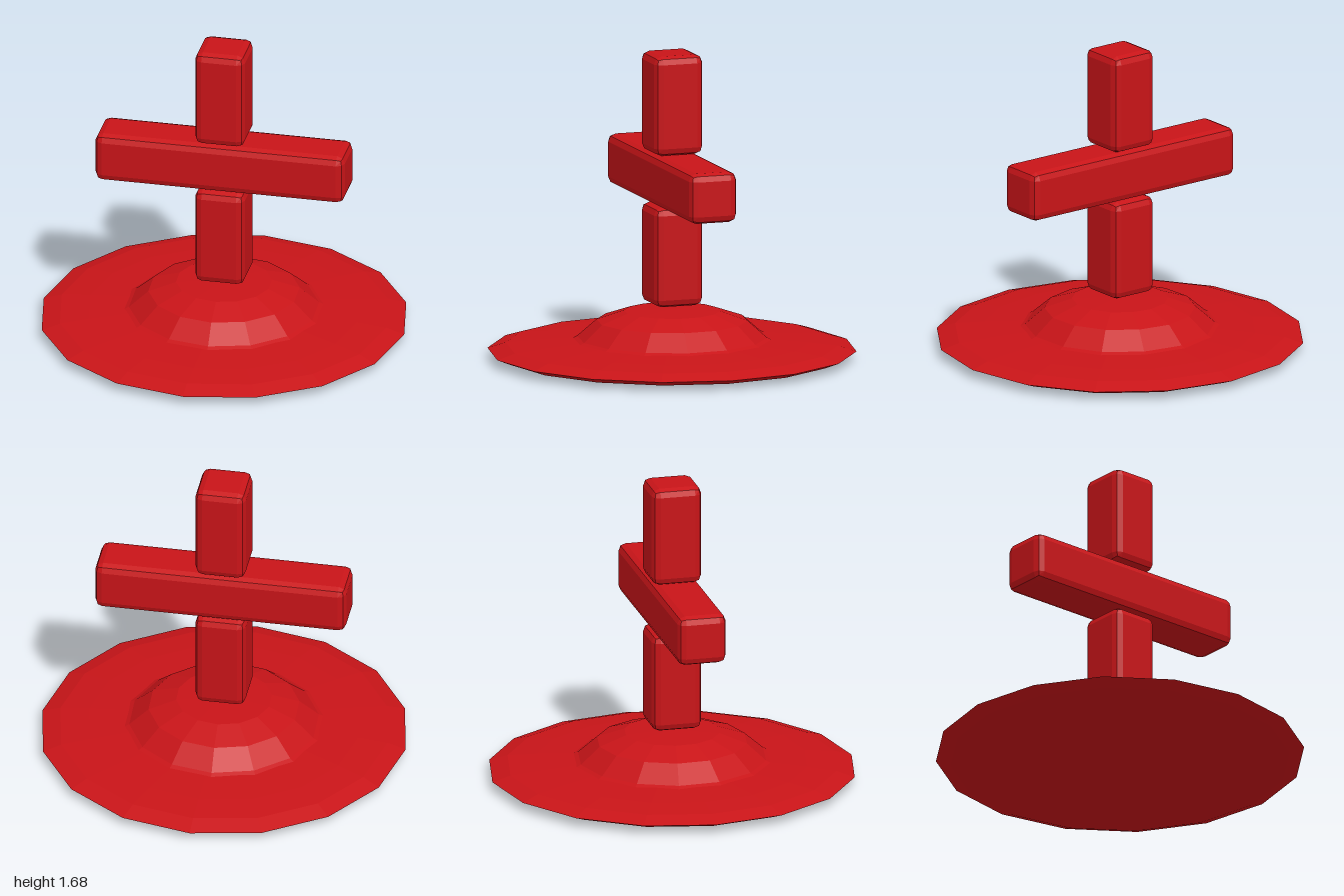
import * as THREE from 'three';
import { RoundedBoxGeometry } from 'three/addons/geometries/RoundedBoxGeometry.js';

export function createModel() {
  const model = new THREE.Group();
  const material = new THREE.MeshStandardMaterial({ color: 0xc81418, flatShading: true });

  const add = (name, geometry, parent = model) => {
    const mesh = new THREE.Mesh(geometry, material);
    mesh.name = name;
    parent.add(mesh);
    return mesh;
  };
  const lathe = (points, sides) =>
    new THREE.LatheGeometry(points.map(([r, y]) => new THREE.Vector2(r, y)), sides);

  // Thin disc with a sharp rim, rising gently towards the middle
  add('baseDisc', lathe([
    [0, 0.004], [0.75, 0.009], [0.92, 0.024], [1, 0.055],
    [0.9, 0.086], [0.74, 0.102], [0.5, 0.118], [0, 0.12],
  ], 16));

  // Low faceted dome on the disc
  add('dome', lathe([
    [0.55, 0.11], [0.515, 0.126], [0.41, 0.218], [0.26, 0.27], [0, 0.28],
  ], 14));

  // Floating cross: two upright blocks and a crossbar, turned together
  const cross = new THREE.Group();
  cross.name = 'cross';
  cross.rotation.y = 0.4;
  model.add(cross);
  const block = (name, width, depth, bottom, top) => {
    const geometry = new RoundedBoxGeometry(width, top - bottom, depth, 1, 0.042);
    add(name, geometry, cross).position.y = (bottom + top) / 2;
  };
  block('lowerPost', 0.276, 0.276, 0.31, 0.858);
  block('crossbar', 1.38, 0.27, 0.862, 1.138);
  block('upperPost', 0.276, 0.276, 1.142, 1.688);

  return model;
}
